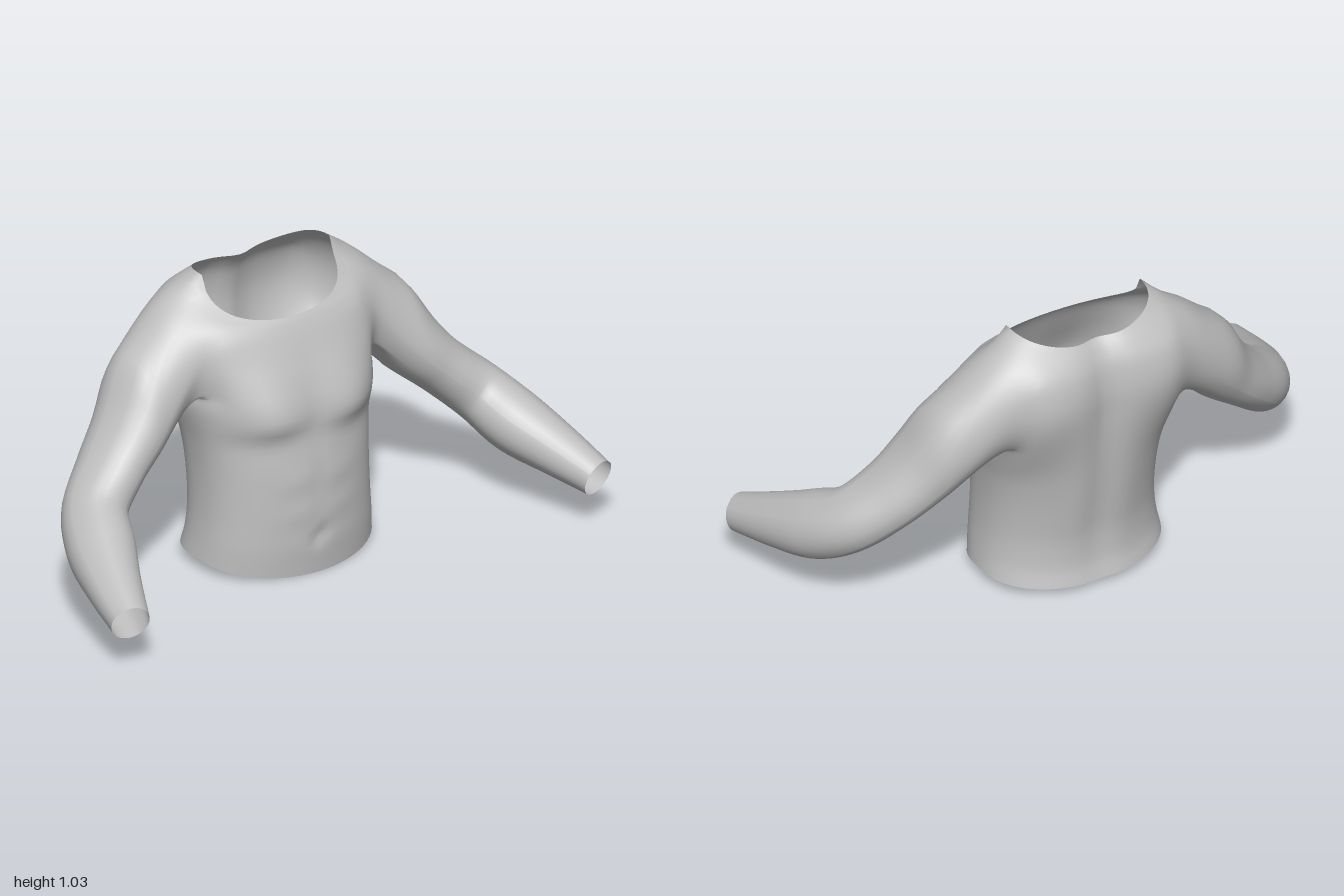
import * as THREE from 'three';

const COLS = 64, ROWS = 44;              // torso grid
const HOLE = { r0: 25, r1: 37, c0: 9, c1: 23 }; // arm opening in the grid
const ARM_RINGS = 36;

const bell = (v, s) => Math.exp(-(v * v) / (s * s));
const { lerp, smoothstep } = THREE.MathUtils;
const spline = (pts) => new THREE.CatmullRomCurve3(pts.map((p) => new THREE.Vector3(...p)), false, 'catmullrom', 0.5);

// Torso sections from hem to neck: [y front, y side, y back], [half width, z front, z back]
const heights = spline([
  [0, 0.05, 0.03], [0.1, 0.12, 0.1], [0.2, 0.2, 0.2], [0.3, 0.3, 0.3], [0.4, 0.4, 0.4], [0.5, 0.5, 0.5],
  [0.6, 0.6, 0.6], [0.68, 0.7, 0.7], [0.75, 0.8, 0.8], [0.82, 0.91, 0.89], [0.86, 0.974, 0.945], [0.88, 1.03, 0.975],
]);
const widths = spline([
  [0.33, 0.14, -0.36], [0.32, 0.148, -0.343], [0.312, 0.15, -0.34], [0.31, 0.149, -0.352], [0.315, 0.143, -0.368],
  [0.33, 0.127, -0.383], [0.362, 0.115, -0.395], [0.387, 0.092, -0.403], [0.41, 0.065, -0.405],
  [0.415, 0.035, -0.392], [0.353, 0.014, -0.365], [0.255, 0, -0.338],
]);

// Left arm: centre line, and radii [up-outward, across]
const armPath = spline([
  [0.42, 0.755, -0.2], [0.46, 0.694, -0.187], [0.552, 0.574, -0.148], [0.66, 0.465, -0.11],
  [0.77, 0.363, -0.045], [0.83, 0.287, 0.08], [0.885, 0.232, 0.23], [0.935, 0.179, 0.395],
]);
const armSize = spline([
  [0.15, 0.165, 0], [0.137, 0.16, 0], [0.114, 0.147, 0], [0.099, 0.131, 0],
  [0.103, 0.115, 0], [0.109, 0.117, 0], [0.09, 0.094, 0], [0.065, 0.067, 0],
]);

// Muscle relief added to z
function relief(x, y, front) {
  const ax = Math.abs(x);
  if (front) {
    const pec = 0.036 * bell(ax - 0.16, 0.12) * bell(y - 0.565, y < 0.565 ? 0.055 : 0.17);
    const midline = -0.005 * bell(x, 0.025) * bell(y - 0.36, 0.15);
    const abs = 0.002 * bell(ax - 0.08, 0.06) * Math.cos((y - 0.1) * 50) * bell(y - 0.28, 0.16);
    const navel = -0.016 * bell(x, 0.025) * bell(y - 0.135, 0.025);
    return pec + midline + abs + navel;
  }
  const spine = 0.026 * bell(x, 0.06) * Math.min(1, 0.3 + y);
  const blade = -0.034 * bell(ax - 0.24, 0.15) * bell(y - 0.78, 0.18);
  const lowerBack = -0.005 * bell(ax - 0.09, 0.07) * bell(y - 0.3, 0.2);
  return spine + blade + lowerBack;
}

function torsoPoint(row, col) {
  const t = row / ROWS, a = (col / COLS) * Math.PI * 2;
  const h = heights.getPoint(t), w = widths.getPoint(t);
  const c = Math.cos(a), ac = Math.abs(c), front = c > 0;
  const neck = smoothstep(t, 0.82, 1);
  const bias = front ? (t < 0.4 ? 1.2 : lerp(0.6, 0.45, neck)) : lerp(1, 1.8, neck);
  const y = h.y + ((front ? h.x : h.z) - h.y) * Math.pow(ac, bias);
  const x = w.x * Math.sin(a);
  const mid = (w.y + w.z) / 2, depth = (w.y - w.z) / 2;
  // the upper back is broader and flatter
  const round = front ? 0.85 : 0.85 - 0.28 * smoothstep(t, 0.4, 0.68) + 0.18 * neck;
  const z = mid + Math.sign(c) * depth * Math.pow(ac, round);
  return new THREE.Vector3(x, y, z + relief(x, y, front) * Math.min(1, ac * 2.5));
}

// Vertex indices round the arm opening; side is +1 (left) or -1 (right)
function openingLoop(side) {
  const { r0, r1, c0, c1 } = HOLE, loop = [];
  const at = (r, c) => r * COLS + ((side * c + COLS) % COLS);
  for (let c = c0; c < c1; c++) loop.push(at(r0, c));
  for (let r = r0; r < r1; r++) loop.push(at(r, c1));
  for (let c = c1; c > c0; c--) loop.push(at(r1, c));
  for (let r = r1; r > r0; r--) loop.push(at(r, c0));
  return loop;
}

// Relax the shoulder and armpit so arm and torso flow together
function relaxShoulders(pts, faces, passes) {
  const near = pts.map(() => new Set());
  for (let i = 0; i < faces.length; i += 3) {
    for (let e = 0; e < 3; e++) {
      const a = faces[i + e], b = faces[i + (e + 1) % 3];
      near[a].add(b);
      near[b].add(a);
    }
  }
  const weight = pts.map(({ x, y }) => {
    const ax = Math.abs(x);
    return 0.6 * smoothstep(ax, 0.26, 0.33) * (1 - smoothstep(ax, 0.46, 0.56)) * smoothstep(y, 0.5, 0.58);
  });
  for (let n = 0; n < passes; n++) {
    const old = pts.map((p) => p.clone());
    pts.forEach((p, i) => {
      if (weight[i] === 0) return;
      const mean = new THREE.Vector3();
      near[i].forEach((j) => mean.add(old[j]));
      p.lerp(mean.divideScalar(near[i].size), weight[i]);
    });
  }
}

function bodyGeometry() {
  const pts = [], faces = [];
  const quad = (a, b, c, d, flip) => (flip ? faces.push(a, c, b, a, d, c) : faces.push(a, b, c, a, c, d));

  // torso shell with two openings
  for (let r = 0; r <= ROWS; r++) for (let c = 0; c < COLS; c++) pts.push(torsoPoint(r, c));
  const inHole = (r, c) => r >= HOLE.r0 && r < HOLE.r1 && c >= HOLE.c0 && c < HOLE.c1;
  for (let r = 0; r < ROWS; r++) {
    for (let c = 0; c < COLS; c++) {
      if (inHole(r, c) || inHole(r, COLS - 1 - c)) continue;
      const n = (c + 1) % COLS;
      quad(r * COLS + c, r * COLS + n, (r + 1) * COLS + n, (r + 1) * COLS + c, false);
    }
  }

  // arms grow out of the openings and blend into oval sections
  const outward = new THREE.Vector3(0.75, 0.66, 0);
  const frame = (t) => {
    const dir = armPath.getTangent(t);
    const up = outward.clone().addScaledVector(dir, -outward.dot(dir)).normalize();
    return { o: armPath.getPoint(t), up, across: dir.clone().cross(up) };
  };
  const start = frame(0.06);
  const left = openingLoop(1).map((i) => pts[i].clone());
  const angles = left.map((p) => {
    const d = p.clone().sub(start.o);
    return Math.atan2(d.dot(start.across) / 0.165, d.dot(start.up) / 0.13);
  });
  for (const side of [1, -1]) {
    let prev = openingLoop(side);
    for (let k = 1; k <= ARM_RINGS; k++) {
      const t = k / ARM_RINGS, f = frame(t), size = armSize.getPoint(t);
      const u = Math.min(1, t / 0.22), blend = 1 - (1 - u) ** 2;
      const ring = left.map((p, i) => {
        const q = f.o.clone()
          .addScaledVector(f.up, size.x * Math.cos(angles[i]))
          .addScaledVector(f.across, size.y * Math.sin(angles[i]));
        q.lerpVectors(p, q.clone(), blend);
        q.x *= side;
        return pts.push(q) - 1;
      });
      ring.forEach((v, i) => {
        const n = (i + 1) % ring.length;
        quad(prev[i], prev[n], ring[n], v, side < 0);
      });
      prev = ring;
    }
  }
  relaxShoulders(pts, faces, 8);

  const geometry = new THREE.BufferGeometry().setFromPoints(pts);
  geometry.setIndex(faces);
  geometry.computeVertexNormals();
  return geometry;
}

export function createModel() {
  const skin = new THREE.MeshStandardMaterial({ color: 0xbfbfbf, side: THREE.DoubleSide });
  skin.name = 'plainGrey';
  const body = new THREE.Mesh(bodyGeometry(), skin);
  body.name = 'torsoAndArms';
  const group = new THREE.Group();
  group.name = 'upperBody';
  group.add(body);
  return group;
}
